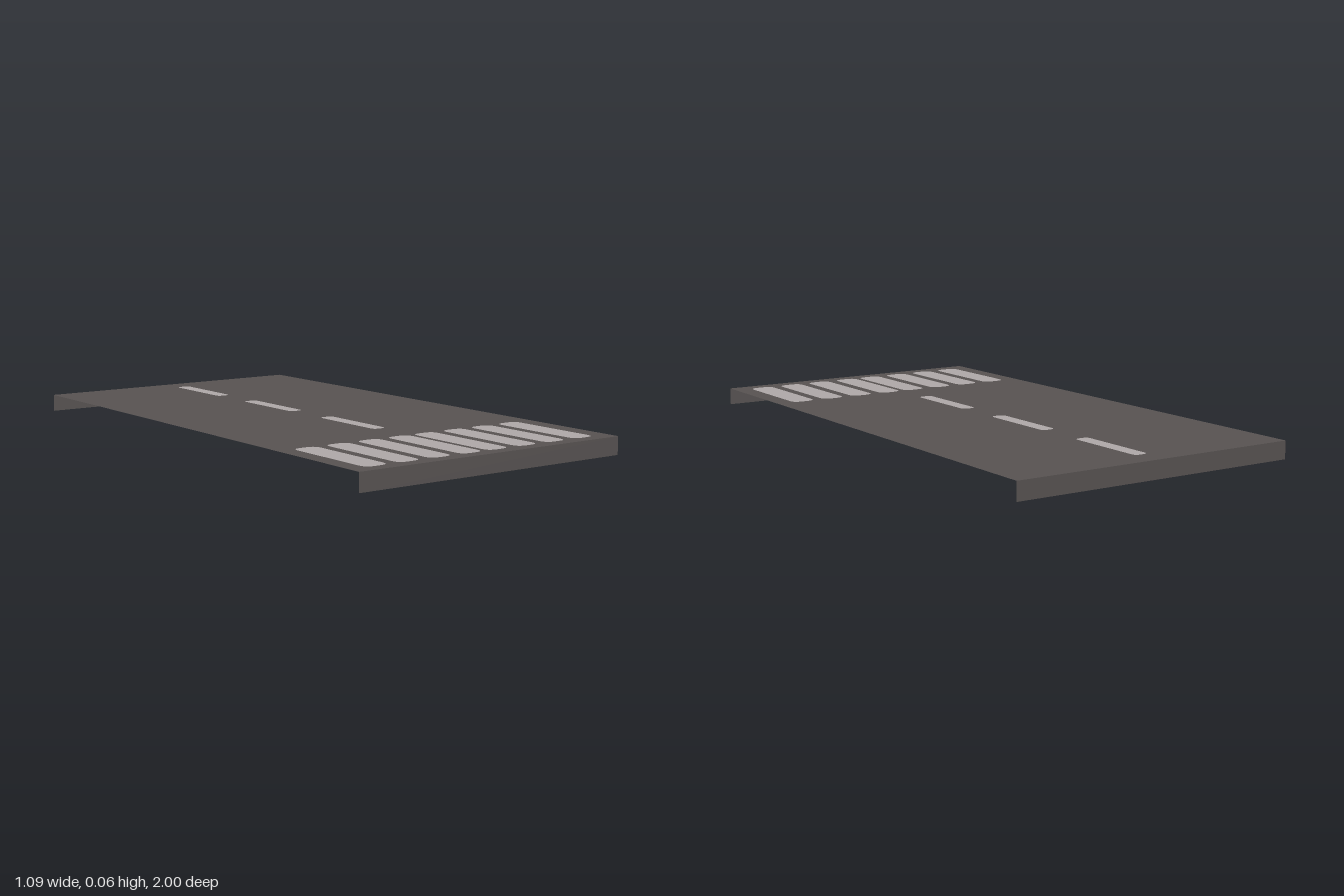
import * as THREE from 'three';

const W = 0.545, L = 1, TOP = 0.064;

// Rounded rectangle drawn on the plan, centred at (x, z)
function roundedRect(path, x, z, w, l, r) {
  const x0 = x - w / 2, x1 = x + w / 2, y0 = -z - l / 2, y1 = -z + l / 2;
  path.moveTo(x0 + r, y0);
  path.lineTo(x1 - r, y0).quadraticCurveTo(x1, y0, x1, y0 + r);
  path.lineTo(x1, y1 - r).quadraticCurveTo(x1, y1, x1 - r, y1);
  path.lineTo(x0 + r, y1).quadraticCurveTo(x0, y1, x0, y1 - r);
  path.lineTo(x0, y0 + r).quadraticCurveTo(x0, y0, x0 + r, y0);
  return path;
}

export function createModel() {
  const asphalt = new THREE.MeshStandardMaterial({ color: 0x585352, side: THREE.DoubleSide });
  asphalt.name = 'asphalt';
  const paint = new THREE.MeshStandardMaterial({ color: 0xb0a9a9, side: THREE.DoubleSide });
  paint.name = 'road paint';

  const group = new THREE.Group();
  group.name = 'road';
  const add = (name, geometry, material) => {
    const mesh = new THREE.Mesh(geometry, material);
    mesh.name = name;
    group.add(mesh);
    return mesh;
  };
  const flat = (shape) => new THREE.ShapeGeometry(shape, 5).rotateX(-Math.PI / 2).translate(0, TOP, 0);

  // Markings: [name, x, z, width, length, corner radius]
  const markings = [];
  for (const z of [-0.75, -0.25, 0.25]) markings.push(['centreDash', -0.003, z, 0.053, 0.32, 0.02]);
  for (const side of [-1, 1])
    for (let i = 0; i < 4; i++)
      markings.push(['crossingStripe', side * (0.0555 + i * 0.127) - 0.002, 0.76, 0.091, 0.385, 0.033]);

  // Road sheet, cut out where the markings are inlaid so they show from both sides
  const sheet = new THREE.Shape();
  sheet.moveTo(-W, -L).lineTo(W, -L).lineTo(W, L).lineTo(-W, L).closePath();
  for (const [name, ...m] of markings) {
    sheet.holes.push(roundedRect(new THREE.Path(), ...m));
    add(name, flat(roundedRect(new THREE.Shape(), ...m)), paint);
  }
  add('roadSurface', flat(sheet), asphalt);

  // Folded-down lips at the two ends; the long sides stay open
  for (const [name, z, turn] of [['frontLip', L, 0], ['backLip', -L, Math.PI]]) {
    const lip = add(name, new THREE.PlaneGeometry(2 * W, TOP), asphalt);
    lip.position.set(0, TOP / 2, z);
    lip.rotation.y = turn;
  }
  return group;
}
